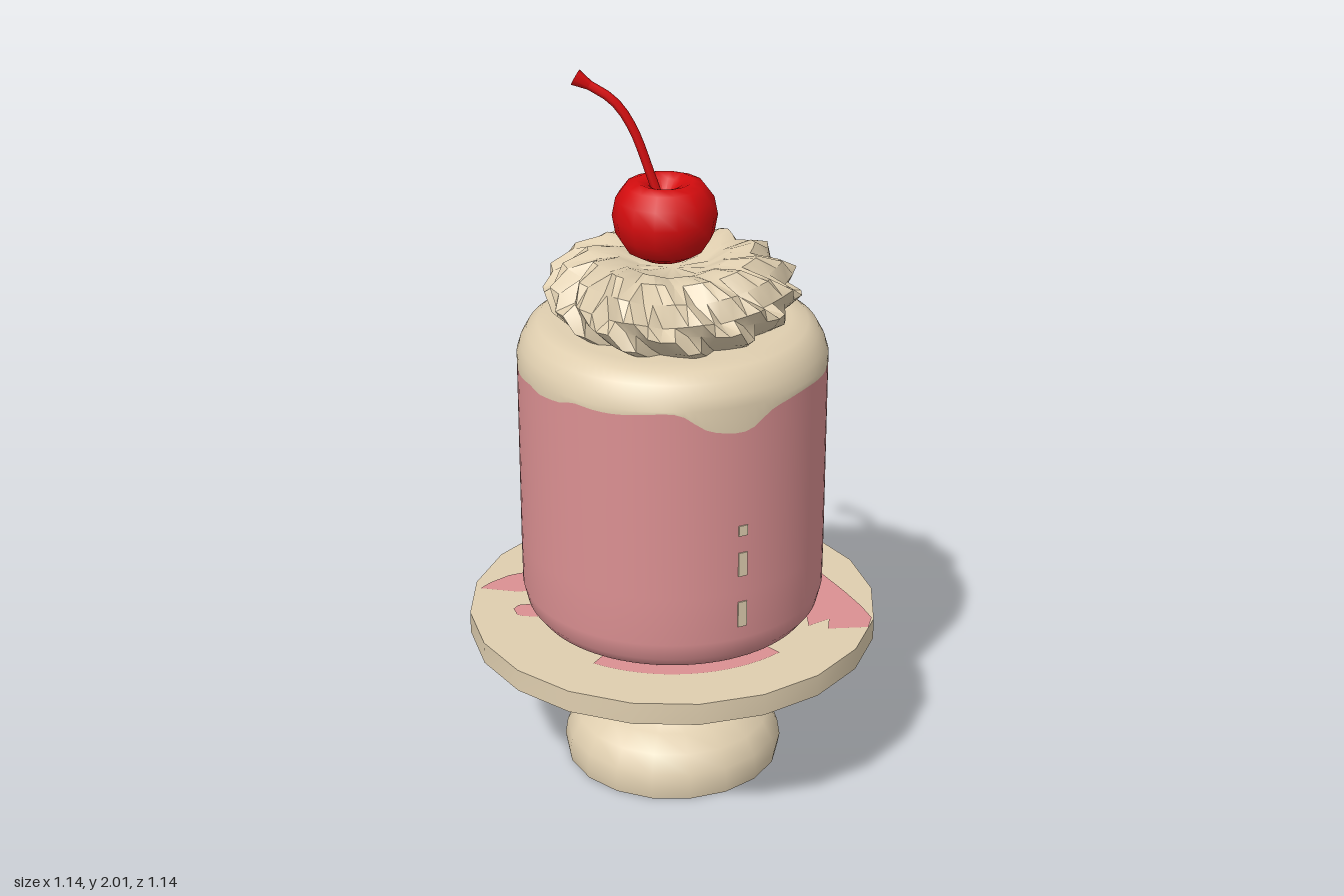
import * as THREE from 'three';
import { toCreasedNormals } from 'three/addons/utils/BufferGeometryUtils.js';

const rad = THREE.MathUtils.degToRad;

// Closed surface of rings, bottom to top; point(row, angle) gives [radius, y]
function ringSurface(rows, segs, point) {
  const pos = [], idx = [];
  for (let j = 0; j < rows; j++) {
    for (let i = 0; i < segs; i++) {
      const a = (i / segs) * Math.PI * 2;
      const [r, y] = point(j, a);
      pos.push(r * Math.sin(a), y, r * Math.cos(a));
      if (j === rows - 1) continue;
      const p = j * segs + i, q = j * segs + ((i + 1) % segs);
      idx.push(p, q, p + segs, q, q + segs, p + segs);
    }
  }
  const g = new THREE.BufferGeometry();
  g.setAttribute('position', new THREE.Float32BufferAttribute(pos, 3));
  g.setIndex(idx);
  g.computeVertexNormals();
  return g;
}

const lathe = (pts, segs) =>
  new THREE.LatheGeometry(pts.map(p => new THREE.Vector2(...p)), segs);

// Lower edge of the icing: [angle, half width, depth] of each drip
const drips = [[217, 8, 0.21], [272, 6, 0.11], [31, 14, 0.045], [146, 9, 0.035], [320, 10, 0.02]];
function icingEdge(a) {
  let y = 1.228 + 0.008 * Math.sin(3 * a + 2) + 0.008 * Math.sin(7 * a);
  for (const [deg, w, depth] of drips) {
    const d = Math.abs(THREE.MathUtils.euclideanModulo(a * 180 / Math.PI - deg + 180, 360) - 180);
    y -= depth * Math.exp(-Math.pow(d / w, 4));
  }
  return y;
}

export function createModel() {
  const group = new THREE.Group();
  const mat = (name, color, side = THREE.FrontSide) => {
    const m = new THREE.MeshStandardMaterial({ color, side });
    m.name = name;
    return m;
  };
  const cream = mat('cream', 0xdfceaf);
  const pink = mat('pink', 0xdb9092);
  const red = mat('cherryRed', 0xd40c0e);
  const add = (name, geo, material, parent = group) => {
    const mesh = new THREE.Mesh(geo, material);
    mesh.name = name;
    parent.add(mesh);
    return mesh;
  };

  // Stand: hollow foot, column and plate
  add('standFoot', toCreasedNormals(lathe([
    [0, 0.13], [0.13, 0.115], [0.22, 0.07], [0.265, 0.015], [0.305, 0], [0.31, 0.03],
    [0.303, 0.075], [0.275, 0.125], [0.22, 0.16], [0.155, 0.185], [0.13, 0.22],
    [0.112, 0.32], [0.105, 0.41]], 18), 0.9), cream);
  add('plate', toCreasedNormals(
    new THREE.CylinderGeometry(0.572, 0.572, 0.063, 20).translate(0, 0.4365, 0), 0.6), cream);

  // Cake body up to the icing edge
  const body = [[0.35, 0.469], [0.385, 0.48], [0.408, 0.51], [0.42, 0.56], [0.421, 0.7]];
  add('cakeBody', ringSurface(6, 96, (j, a) => body[j] || [0.421, icingEdge(a)]), pink);

  // Icing cap with drips
  const cap = [[0.421, 1.245], [0.412, 1.275], [0.394, 1.308], [0.365, 1.332], [0.32, 1.342], [0, 1.345]];
  add('icing', ringSurface(7, 96, (j, a) => j ? cap[j - 1] : [0.421, icingEdge(a)]), cream);

  // Row of small icing drops on the front
  [[0.885, 0.03], [0.785, 0.07], [0.635, 0.075]].forEach(([y, h]) => {
    const drop = add('icingDrop', new THREE.BoxGeometry(0.026, h, 0.006), cream);
    drop.position.set(0.421 * Math.sin(rad(37)), y, 0.421 * Math.cos(rad(37)));
    drop.rotation.y = rad(37);
  });

  // Twisted whipped cream with sawtooth ridges: [radius, y, ridge depth, twist]
  const swirl = [
    [0.29, 1.335, 0.03, 1.15], [0.335, 1.365, 0.05, 1.05], [0.358, 1.41, 0.055, 0.85],
    [0.345, 1.455, 0.055, 0.62], [0.30, 1.497, 0.05, 0.42], [0.235, 1.525, 0.04, 0.22],
    [0.165, 1.52, 0.03, 0.08], [0.10, 1.49, 0.015, 0], [0, 1.48, 0, 0]];
  const lobes = 12, steps = 5;
  add('whippedCream', toCreasedNormals(ringSurface(swirl.length, lobes * steps, (j, a) => {
    const [r, y, depth, twist] = swirl[j];
    const t = THREE.MathUtils.euclideanModulo((a - twist) * lobes / (2 * Math.PI), 1);
    const groove = t < 0.7 ? 1 - t / 0.7 : (t - 0.7) / 0.3;
    const wobble = 0.008 * Math.sin(3 * a + 1);
    return [r ? r - depth * groove + wobble : 0, y - (j > 2 ? depth * groove * 0.55 : 0)];
  }), 0.6), cream);

  // Cherry with a dimple, and its bent stem
  const cherry = new THREE.Group();
  cherry.name = 'cherry';
  group.add(cherry);
  const fruit = add('cherryFruit', lathe([
    [0, 1.495], [0.06, 1.502], [0.105, 1.527], [0.132, 1.57], [0.141, 1.62], [0.131, 1.67],
    [0.105, 1.705], [0.075, 1.716], [0.045, 1.705], [0, 1.655]], 14), red, cherry);
  fruit.position.set(-0.024, 0, -0.017);
  const path = new THREE.CatmullRomCurve3([
    [-0.03, 1.65], [-0.055, 1.72], [-0.108, 1.86], [-0.158, 1.93], [-0.235, 1.975]
  ].map(([x, y]) => new THREE.Vector3(x, y, -0.005)));
  add('cherryStem', new THREE.TubeGeometry(path, 12, 0.0125, 6), red, cherry);
  const tip = add('stemTip', new THREE.CylinderGeometry(0.023, 0.012, 0.045, 6), red, cherry);
  tip.position.set(-0.239, 1.977, -0.005);
  tip.rotation.z = rad(62);

  // Pink sauce spilled on the plate, outlined as [x, z]
  const spills = [
    [[0.30, -0.22], [0.34, -0.26], [0.395, -0.23], [0.47, -0.14], [0.53, -0.06], [0.566, 0],
      [0.564, 0.055], [0.455, 0.085], [0.45, 0.03], [0.40, 0.08], [0.38, 0]],
    [[-0.39, -0.1], [-0.43, -0.09], [-0.49, -0.05], [-0.53, 0], [-0.55, 0.04], [-0.44, 0.04],
      [-0.39, 0.02]],
    [[-0.38, 0.1], [-0.42, 0.115], [-0.428, 0.14], [-0.41, 0.17], [-0.39, 0.175], [-0.35, 0.17]]];
  for (const pts of spills) {
    const shape = new THREE.Shape(pts.map(([x, z]) => new THREE.Vector2(x, -z)));
    add('sauceSpill', new THREE.ShapeGeometry(shape).rotateX(-Math.PI / 2).translate(0, 0.471, 0), pink);
  }
  add('sauceEdge', new THREE.RingGeometry(0.33, 0.418, 16, 1, rad(-110), rad(75))
    .rotateX(-Math.PI / 2).translate(0, 0.471, 0), pink);

  return group;
}
